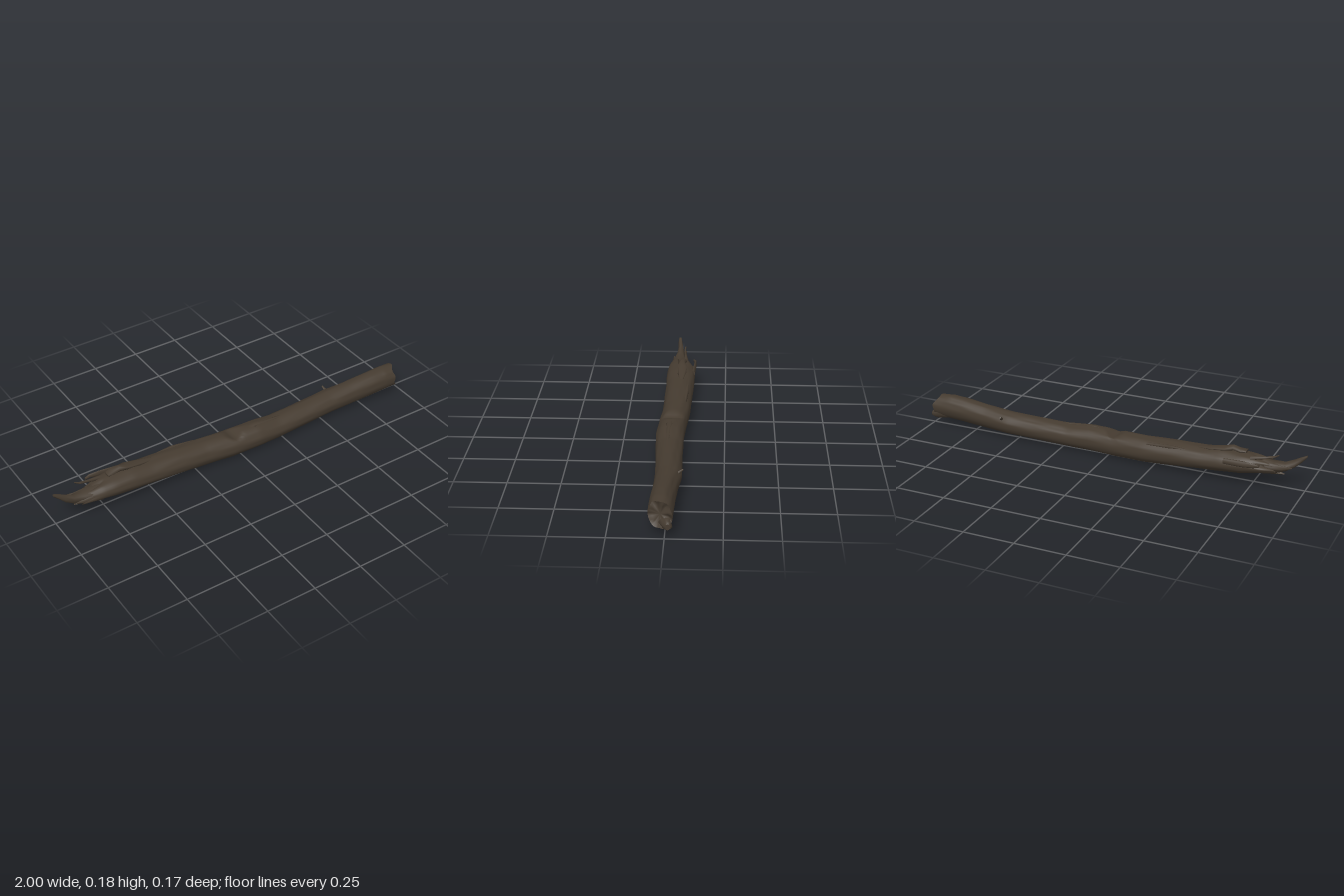
import * as THREE from 'three';

const SIDES = 36;

// Skins a list of rings (arrays of Vector3, running toward +x) and closes both ends.
function skin(rings, dentStart = 0, dentEnd = 0) {
  const n = rings[0].length, pos = [], idx = [];
  const push = (p) => pos.push(p.x, p.y, p.z) / 3 - 1;
  rings.forEach((r) => r.forEach(push));
  for (let i = 0; i < rings.length - 1; i++) {
    for (let j = 0; j < n; j++) {
      const a = i * n + j, b = i * n + (j + 1) % n;
      idx.push(a, a + n, b, b, a + n, b + n);
    }
  }
  // broken ends: an inner ring, pushed in or out, around a centre point
  const cap = (ring, dent, start) => {
    const mid = ring.reduce((s, p) => s.add(p), new THREE.Vector3()).divideScalar(n);
    const outer = ring.map(push);
    const inner = ring.map((p, j) => {
      const q = p.clone().lerp(mid, 0.35);
      q.x += dent * (0.7 + 0.5 * Math.sin(j * 1.1));
      return push(q);
    });
    mid.x += dent;
    const c = push(mid);
    for (let j = 0; j < n; j++) {
      const k = (j + 1) % n;
      const tris = [[outer[j], inner[j], outer[k]], [outer[k], inner[j], inner[k]], [inner[j], c, inner[k]]];
      tris.forEach(([a, b, d]) => (start ? idx.push(a, d, b) : idx.push(a, b, d)));
    }
  };
  cap(rings[0], dentStart, true);
  cap(rings[rings.length - 1], dentEnd, false);
  const g = new THREE.BufferGeometry();
  g.setAttribute('position', new THREE.Float32BufferAttribute(pos, 3));
  g.setIndex(idx);
  g.computeVertexNormals();
  return g;
}

// Outline of the log: x, bottom, top, back, front
const LOG = [
  [-0.84, 0.075, 0.135, -0.042, 0.046],
  [-0.77, 0.066, 0.148, -0.066, 0.056],
  [-0.70, 0.055, 0.155, -0.084, 0.064],
  [-0.60, 0.045, 0.158, -0.086, 0.066],
  [-0.50, 0.038, 0.150, -0.084, 0.064],
  [-0.35, 0.024, 0.148, -0.079, 0.064],
  [-0.20, 0.013, 0.141, -0.075, 0.066],
  [-0.05, 0.007, 0.137, -0.062, 0.078],
  [0.10, 0.010, 0.139, -0.054, 0.084],
  [0.22, 0.013, 0.126, -0.054, 0.079],
  [0.40, 0.018, 0.131, -0.055, 0.070],
  [0.55, 0.023, 0.138, -0.060, 0.064],
  [0.68, 0.028, 0.148, -0.047, 0.066],
  [0.82, 0.035, 0.162, -0.040, 0.072],
  [0.90, 0.039, 0.167, -0.038, 0.074],
  [0.965, 0.042, 0.163, -0.036, 0.074],
];

function outlineAt(x) {
  let i = 0;
  while (i < LOG.length - 2 && x > LOG[i + 1][0]) i++;
  const [a, b] = [LOG[i], LOG[i + 1]];
  const t = (x - a[0]) / (b[0] - a[0]);
  return a.map((v, k) => v + (b[k] - v) * t);
}

function logRings() {
  const steps = 110, rings = [];
  for (let i = 0; i <= steps; i++) {
    const x = THREE.MathUtils.lerp(-0.84, 0.965, i / steps);
    const [, lo, hi, back, front] = outlineAt(x);
    const ring = [];
    for (let j = 0; j < SIDES; j++) {
      const a = (j / SIDES) * Math.PI * 2, c = Math.cos(a), s = Math.sin(a);
      // long bark ridges that wander along the log, stronger on top
      const bark = (Math.sin(7 * a + 5 * x) * Math.sin(9 * x + 2 * a)
        + 0.8 * Math.sin(11 * a - 8 * x) * Math.sin(21 * x + a)) * (s > 0 ? 0.022 : 0.012);
      const k = 0.99 + bark;
      let y = (lo + hi) / 2 + ((hi - lo) / 2) * s * k;
      const z = (back + front) / 2 + ((front - back) / 2) * c * k;
      // notch across the top
      y = Math.min(y, 0.112 + Math.abs(x + 0.03) * 0.5);
      // torn ends
      const right = THREE.MathUtils.smoothstep(x, 0.86, 0.965);
      const left = 1 - THREE.MathUtils.smoothstep(x, -0.84, -0.7);
      const shift = right * (-0.022 * c - 0.012 * s + 0.006 * Math.sin(5 * a))
        + left * (0.035 * s + 0.018 * Math.sin(5 * a) + 0.012 * Math.sin(9 * a + 1));
      ring.push(new THREE.Vector3(x + shift, y, z));
    }
    rings.push(ring);
  }
  return rings;
}

// Splinter sections: x, y, z, half height, half depth
function splinterRings(sections, sides = 9) {
  return sections.map(([x, y, z, h, d], i) => Array.from({ length: sides }, (_, j) => {
    const a = (j / sides) * Math.PI * 2;
    const k = 1 + 0.14 * Math.sin(3 * a + i * 1.7);
    return new THREE.Vector3(x, y + Math.sin(a) * h * k, z + Math.cos(a) * d * k);
  }));
}

const SPLINTERS = {
  longSplinter: [
    [-1.0, 0.182, 0.006, 0.006, 0.007], [-0.975, 0.162, 0.004, 0.014, 0.011], [-0.945, 0.137, 0.001, 0.02, 0.016],
    [-0.9, 0.113, 0.002, 0.024, 0.022], [-0.85, 0.105, 0.002, 0.03, 0.034], [-0.76, 0.105, 0, 0.034, 0.045],
  ],
  sideSplinter: [
    [-0.94, 0.125, -0.03, 0.003, 0.003], [-0.89, 0.112, -0.022, 0.012, 0.008],
    [-0.83, 0.108, -0.022, 0.02, 0.014], [-0.76, 0.105, -0.02, 0.03, 0.02],
  ],
  frontSplinter: [
    [-0.9, 0.11, 0.036, 0.003, 0.003], [-0.86, 0.1, 0.033, 0.013, 0.008], [-0.77, 0.1, 0.035, 0.026, 0.015],
  ],
  curvedTwig: [
    [-0.875, 0.178, -0.028, 0.003, 0.003], [-0.85, 0.164, -0.026, 0.006, 0.005],
    [-0.81, 0.155, -0.03, 0.006, 0.006], [-0.74, 0.142, -0.035, 0.012, 0.012],
  ],
  backSplinter: [
    [-0.795, 0.128, -0.078, 0.006, 0.006], [-0.77, 0.128, -0.085, 0.01, 0.006],
    [-0.72, 0.125, -0.083, 0.015, 0.007], [-0.62, 0.12, -0.076, 0.016, 0.01],
  ],
  raisedBark: [
    [-0.715, 0.164, -0.012, 0.006, 0.02], [-0.69, 0.166, -0.018, 0.01, 0.024], [-0.65, 0.172, -0.016, 0.013, 0.018],
    [-0.61, 0.163, -0.018, 0.009, 0.026], [-0.54, 0.152, -0.02, 0.008, 0.022], [-0.47, 0.145, -0.02, 0.004, 0.01],
  ],
  barkFlakeBack: [
    [-0.42, 0.132, -0.05, 0.006, 0.008], [-0.34, 0.132, -0.05, 0.009, 0.012], [-0.22, 0.124, -0.046, 0.006, 0.008],
  ],
  barkFlakeTop: [
    [0.02, 0.128, 0.015, 0.006, 0.01], [0.09, 0.135, 0.018, 0.007, 0.016],
    [0.15, 0.129, 0.02, 0.007, 0.012], [0.27, 0.122, 0.02, 0.003, 0.006],
  ],
  endLip: [
    [0.9, 0.07, 0.004, 0.024, 0.03], [0.965, 0.068, -0.006, 0.025, 0.028],
    [0.99, 0.066, -0.014, 0.021, 0.02], [1.0, 0.063, -0.016, 0.014, 0.012],
  ],
};

export function createModel() {
  const model = new THREE.Group();
  model.name = 'brokenLog';
  const bark = new THREE.MeshStandardMaterial({ color: 0x453b30 });
  bark.name = 'darkBark';
  const add = (name, geometry) => {
    const mesh = new THREE.Mesh(geometry, bark);
    mesh.name = name;
    model.add(mesh);
    return mesh;
  };

  // trunk with dented broken ends
  add('trunk', skin(logRings(), 0.03, -0.012));

  // splinters and loose bark
  for (const [name, sections] of Object.entries(SPLINTERS)) add(name, skin(splinterRings(sections)));

  // small twig stub on the back
  const stub = add('twigStub', new THREE.CylinderGeometry(0.004, 0.01, 0.034, 8));
  stub.position.set(0.575, 0.118, -0.052);
  stub.rotation.set(-0.95, 0, 0.2);

  return model;
}
